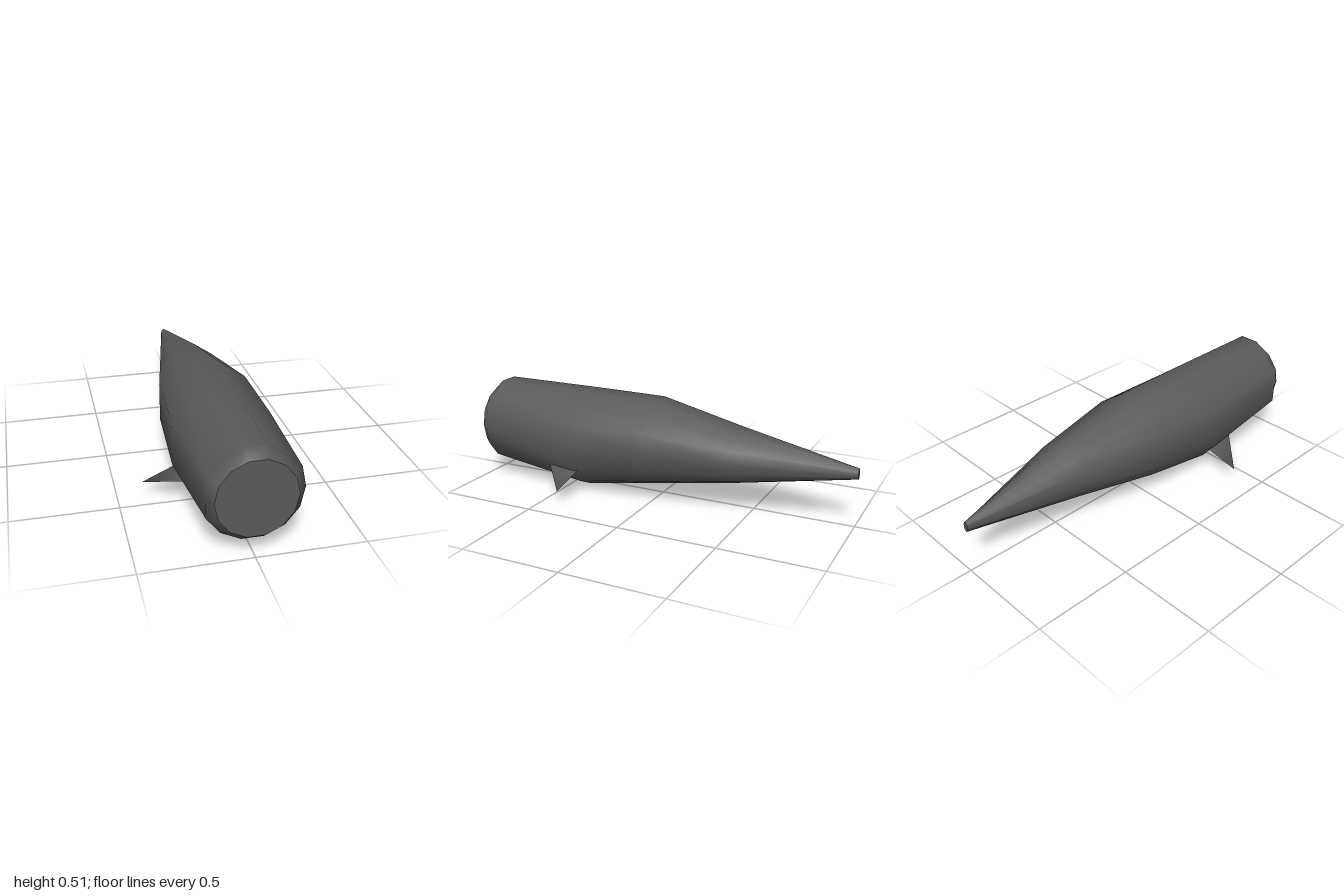
import * as THREE from 'three';

const SIDES = 14;

// One hull ring: ellipse with its flanks trimmed flat at x = left and x = right
function ring({ z, cx = 0, top, bottom, r, left = -1, right = 1, flatShoulders = true }) {
  const cy = (top + bottom) / 2;
  const ry = (top - bottom) / 2 / Math.sin((Math.PI * 3) / 7);
  const pts = [];
  for (let i = 0; i < SIDES; i++) {
    const a = (i / SIDES) * Math.PI * 2;
    const x = THREE.MathUtils.clamp(cx + r * Math.cos(a), left, right);
    pts.push(new THREE.Vector3(x, cy + ry * Math.sin(a), z));
  }
  // Upper shoulders are single broad facets
  if (flatShoulders) for (const i of [2, 5]) pts[i].lerpVectors(pts[i - 1], pts[i + 1], 0.5);
  return pts;
}

function loft(rings) {
  const index = [];
  for (let i = 0; i < rings.length - 1; i++) {
    for (let j = 0; j < SIDES; j++) {
      const k = (j + 1) % SIDES;
      const a = i * SIDES + j, b = i * SIDES + k;
      index.push(a, a + SIDES, b, b, a + SIDES, b + SIDES);
    }
  }
  const geo = new THREE.BufferGeometry().setFromPoints(rings.flat());
  geo.setIndex(index);
  geo.computeVertexNormals();
  return geo;
}

// Flat end cap that closes a ring
function cap(points, back) {
  const index = [];
  for (let i = 1; i < SIDES - 1; i++) index.push(0, back ? i + 1 : i, back ? i : i + 1);
  const geo = new THREE.BufferGeometry().setFromPoints(points);
  geo.setIndex(index);
  geo.computeVertexNormals();
  return geo;
}

// Thin swept fin drooping outward; side is +1 or -1
function fin(side) {
  const pts = [[0.21, 0.14, 0.56], [0.21, 0.132, 0.385], [0.21, 0.115, 0.43], [0.38, 0.07, 0.408]]
    .map(([x, y, z]) => new THREE.Vector3(side * x, y, z));
  const index = [0, 3, 1, 0, 2, 3, 2, 1, 3];
  if (side < 0) index.reverse();
  const geo = new THREE.BufferGeometry().setFromPoints(pts);
  geo.setIndex(index);
  geo.computeVertexNormals();
  return geo;
}

export function createModel() {
  const model = new THREE.Group();
  const grey = new THREE.MeshStandardMaterial({ color: 0x59595b });
  grey.name = 'dark grey';

  const add = (name, geo) => {
    const mesh = new THREE.Mesh(geo, grey);
    mesh.name = name;
    model.add(mesh);
  };

  // Blunt front, deep belly, long tapered tail
  const rings = [
    ring({ z: 1, top: 0.466, bottom: 0.11, r: 0.18, flatShoulders: false }),
    ring({ z: 0.95, top: 0.51, bottom: 0.07, r: 0.224, left: -0.203, right: 0.222 }),
    ring({ z: 0.41, top: 0.507, bottom: 0.003, r: 0.26, left: -0.234, right: 0.242 }),
    ring({ z: 0.02, top: 0.504, bottom: 0.069, r: 0.248, left: -0.22, right: 0.24 }),
    ring({ z: -0.42, cx: 0.012, top: 0.412, bottom: 0.142, r: 0.163, left: -0.138, right: 0.174 }),
    ring({ z: -1, cx: -0.01, top: 0.29, bottom: 0.238, r: 0.015, flatShoulders: false }),
  ];
  add('hull', loft(rings));
  add('frontCap', cap(rings[0], false));
  add('tailCap', cap(rings[rings.length - 1], true));

  add('leftFin', fin(1));
  add('rightFin', fin(-1));
  return model;
}
